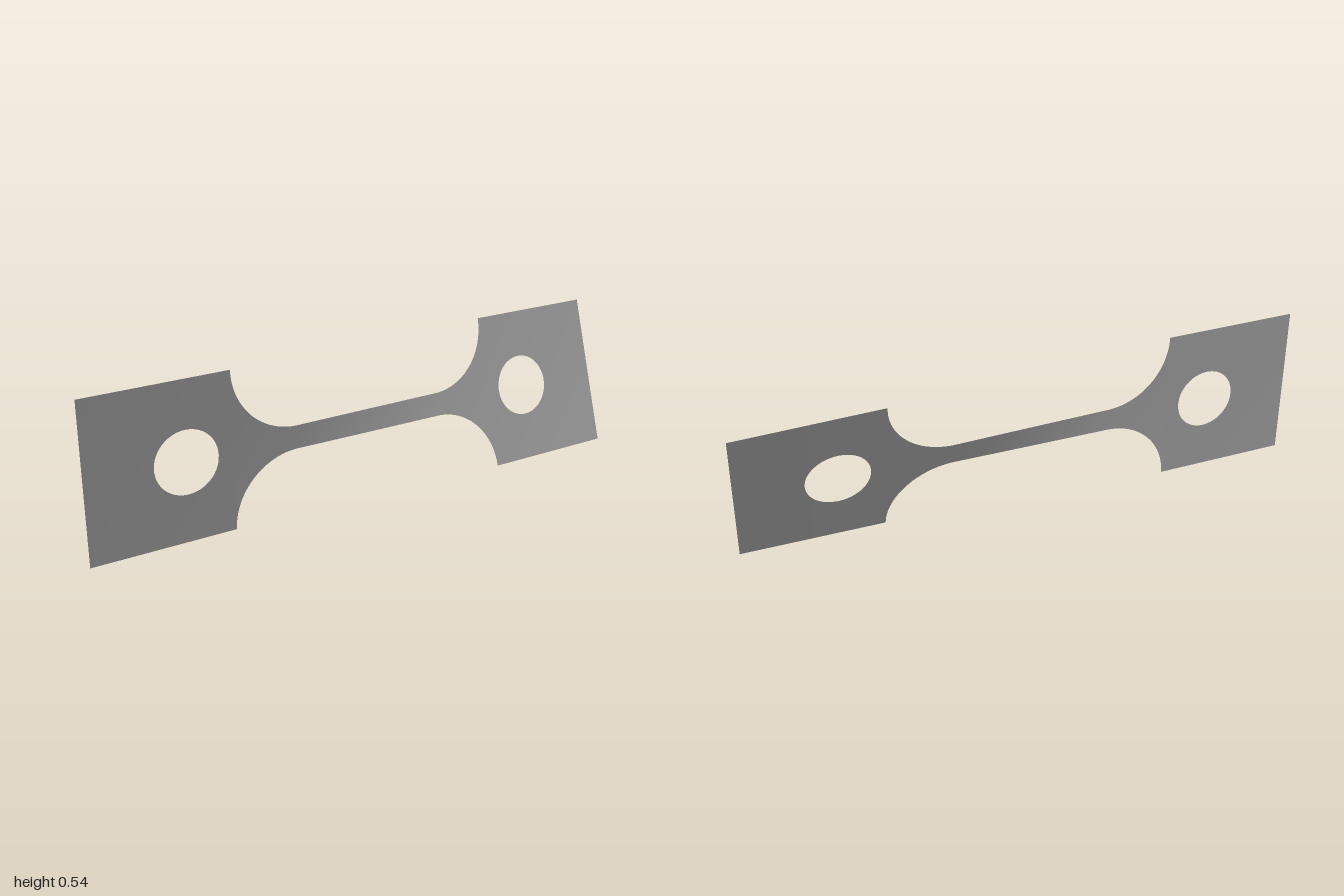
import * as THREE from 'three';

const MID_Y = 0.271; // height of the long axis
const HALF = 0.271; // half height of the grips
const NECK = 0.04; // half height of the neck
const FILLET = HALF - NECK; // radius between neck and grip
const NECK_END = 0.28;
const GRIP_START = NECK_END + FILLET;
const HOLE_X = 0.67, HOLE_R = 0.108;

// Twist in degrees along the bar: slight in the grips, strong in the neck
const TWIST = [[-1, -1.2], [-GRIP_START, -0.3], [-NECK_END, 1], [NECK_END, 14], [GRIP_START, 15.6], [1, 17.8]];

function twistAt(x) {
  let i = 0;
  while (i < TWIST.length - 2 && x > TWIST[i + 1][0]) i++;
  const [x0, a0] = TWIST[i], [x1, a1] = TWIST[i + 1];
  return THREE.MathUtils.degToRad(THREE.MathUtils.mapLinear(x, x0, x1, a0, a1));
}

// Grid of flat points (x, offset from the axis), turned about the axis by the twist
function sheet(name, nu, nv, point, material) {
  const positions = [], index = [];
  for (let j = 0; j <= nv; j++) {
    for (let i = 0; i <= nu; i++) {
      const [x, h] = point(i, j);
      const a = twistAt(x);
      positions.push(x, MID_Y + h * Math.cos(a), -h * Math.sin(a));
      if (i < nu && j < nv) {
        const p = j * (nu + 1) + i, q = p + nu + 1;
        index.push(p, p + 1, q, p + 1, q + 1, q);
      }
    }
  }
  const geometry = new THREE.BufferGeometry();
  geometry.setAttribute('position', new THREE.Float32BufferAttribute(positions, 3));
  geometry.setIndex(index);
  geometry.computeVertexNormals();
  const mesh = new THREE.Mesh(geometry, material);
  mesh.name = name;
  return mesh;
}

export function createModel() {
  const model = new THREE.Group();
  model.name = 'twistedTestBar';
  const steel = new THREE.MeshStandardMaterial({ color: 0xb8b8b8, side: THREE.DoubleSide });
  steel.name = 'greySteel';

  // Neck with a quarter-circle flare at each end
  const columns = [];
  for (let i = 0; i <= 24; i++) {
    const a = (i / 24) * Math.PI / 2;
    columns.push([NECK_END + FILLET * Math.sin(a), HALF - FILLET * Math.cos(a)]);
  }
  const left = columns.map(([x, h]) => [-x, h]).reverse();
  const middle = [];
  for (let i = 1; i < 24; i++) middle.push([THREE.MathUtils.lerp(-NECK_END, NECK_END, i / 24), NECK]);
  const profile = [...left, ...middle, ...columns];
  model.add(sheet('neck', profile.length - 1, 8,
    (i, j) => [profile[i][0], profile[i][1] * (j / 4 - 1)], steel));

  // Grips: rings running from the round hole out to the rectangular edge
  const side = 16, rings = 6;
  for (const [name, x0, x1, cx] of [
    ['rightGrip', -1, -GRIP_START, -HOLE_X],
    ['leftGrip', GRIP_START, 1, HOLE_X],
  ]) {
    const corners = [[x1, -HALF], [x1, HALF], [x0, HALF], [x0, -HALF]];
    model.add(sheet(name, rings, side * 4, (i, j) => {
      const k = Math.floor(j / side) % 4, t = (j % side) / side;
      const c = corners[k], d = corners[(k + 1) % 4];
      const ex = THREE.MathUtils.lerp(c[0], d[0], t), ey = THREE.MathUtils.lerp(c[1], d[1], t);
      const a = Math.atan2(ey, ex - cx);
      const hx = cx + HOLE_R * Math.cos(a), hy = HOLE_R * Math.sin(a);
      return [THREE.MathUtils.lerp(hx, ex, i / rings), THREE.MathUtils.lerp(hy, ey, i / rings)];
    }, steel));
  }
  return model;
}
